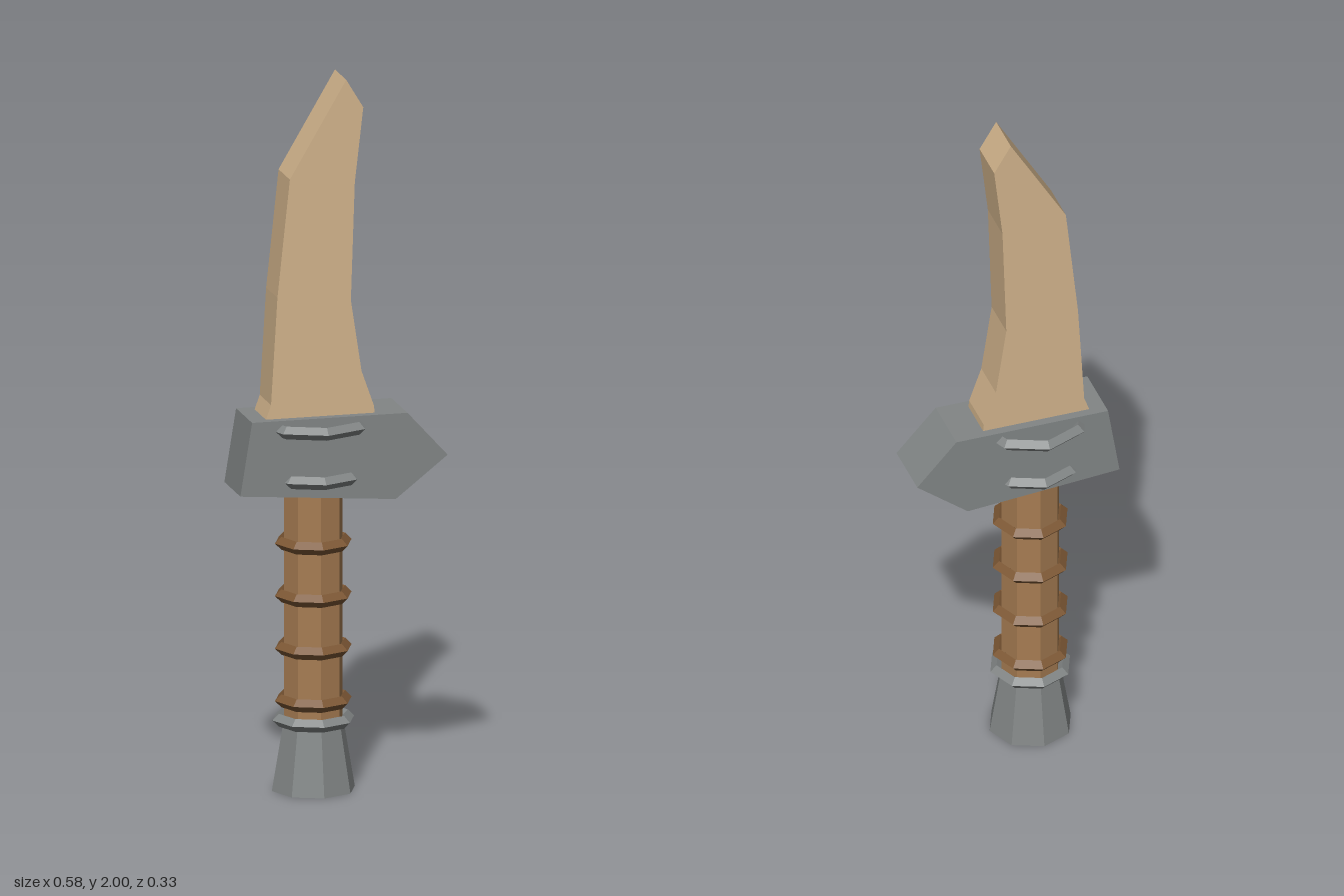
import * as THREE from 'three';

const AXIS = -0.065; // x of the handle's centre line
const mat = (color) => new THREE.MeshStandardMaterial({ color, flatShading: true });

export function createModel() {
  const model = new THREE.Group();
  const tan = mat(0xd2b48c), wood = mat(0xa67c52), cord = mat(0x7d5835), steel = mat(0x828686);

  function add(name, geometry, material, x = 0, y = 0) {
    const mesh = new THREE.Mesh(geometry, material);
    mesh.name = name;
    mesh.position.set(x, y, 0);
    model.add(mesh);
  }

  // Flat outline extruded evenly about z = 0
  function slab(points, depth) {
    const shape = new THREE.Shape(points.map(([x, y]) => new THREE.Vector2(x, y)));
    return new THREE.ExtrudeGeometry(shape, { depth, bevelEnabled: false }).translate(0, 0, -depth / 2);
  }

  // Eight-sided ring with a diamond section
  const ring = (outer, tube) => new THREE.TorusGeometry(outer - tube, tube, 4, 8).rotateX(Math.PI / 2);

  // Curved blade with a clipped tip
  add('blade', slab([
    [-0.218, 1.05], [0.093, 1.05], [0.09, 1.08], [0.055, 1.18], [0.025, 1.38], [0.036, 1.71],
    [0.06, 1.92], [0.012, 2], [-0.147, 1.73], [-0.182, 1.4], [-0.2, 1.1],
  ], 0.12), tan);

  // Angular guard, pointed on the edge side
  add('guard', slab([
    [-0.293, 0.855], [0.145, 0.82], [0.291, 0.935], [0.178, 1.06], [-0.26, 1.06],
  ], 0.17), steel);
  add('upperGuardRing', ring(0.163, 0.018), steel, AXIS, 1.03);
  add('lowerGuardRing', ring(0.138, 0.018), steel, AXIS, 0.885);

  // Octagonal grip with four bindings
  add('grip', new THREE.CylinderGeometry(0.083, 0.083, 0.74, 8), wood, AXIS, 0.53);
  for (let i = 0; i < 4; i++) {
    add(`gripBinding${i + 1}`, ring(0.108, 0.018), cord, AXIS, 0.252 + i * 0.1475);
  }

  // Flared pommel and its collar
  add('pommel', new THREE.CylinderGeometry(0.083, 0.117, 0.2, 8), steel, AXIS, 0.1);
  add('pommelCollar', ring(0.115, 0.018), steel, AXIS, 0.198);

  return model;
}
